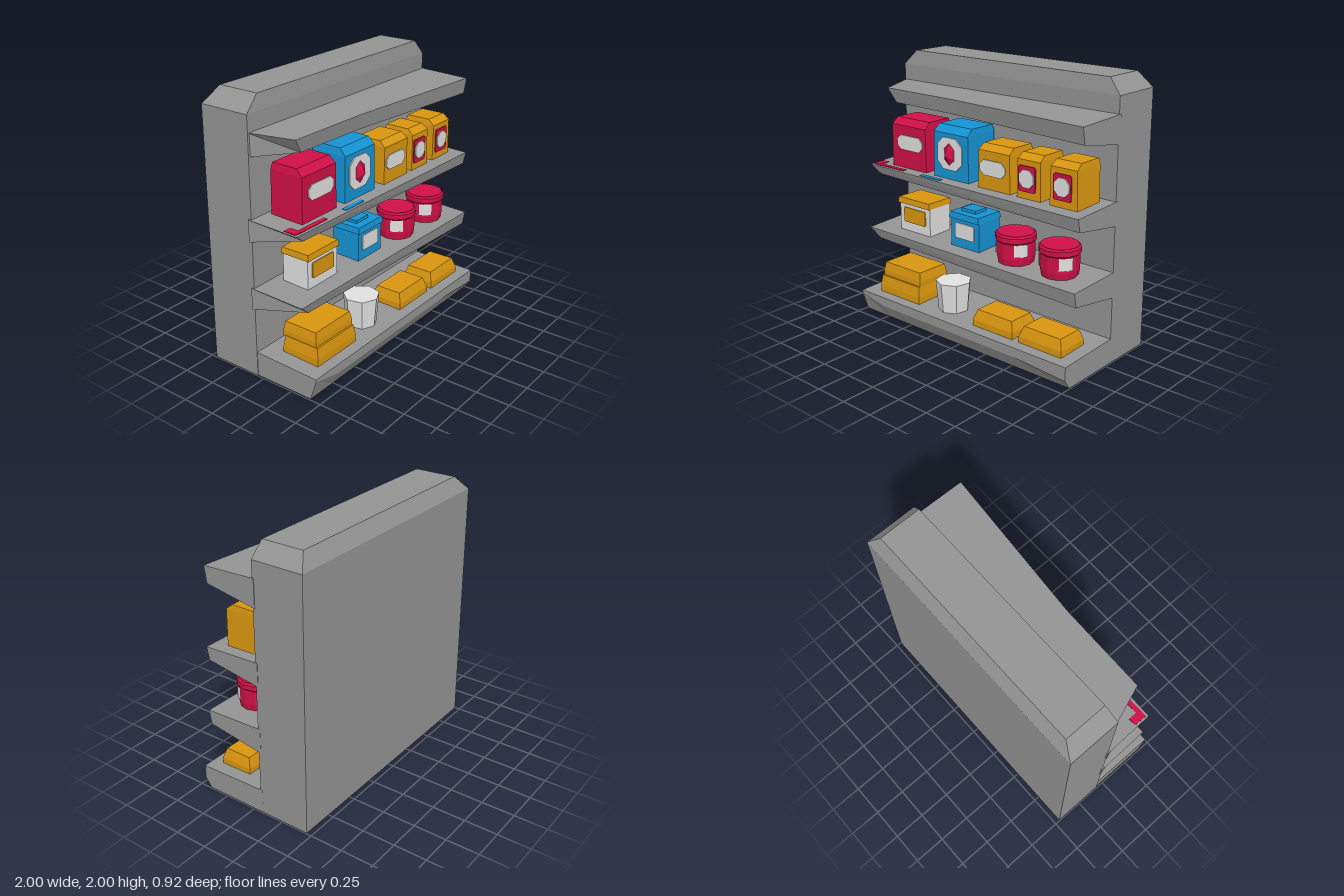
import * as THREE from 'three';

const mat = (name, color) => {
  const m = new THREE.MeshStandardMaterial({ color });
  m.name = name;
  return m;
};

// Flat-faced solid through matching rings of [x, y, z] points, closed at both ends
function loft(rings) {
  const pos = [];
  const tri = (a, b, c) => pos.push(...a, ...b, ...c);
  const n = rings[0].length;
  for (let k = 0; k < rings.length - 1; k++) {
    for (let i = 0; i < n; i++) {
      const j = (i + 1) % n, r = rings[k], s = rings[k + 1];
      tri(r[i], r[j], s[j]);
      tri(r[i], s[j], s[i]);
    }
  }
  const first = rings[0], last = rings[rings.length - 1];
  for (let i = 1; i < n - 1; i++) {
    tri(first[0], first[i + 1], first[i]);
    tri(last[0], last[i], last[i + 1]);
  }
  const g = new THREE.BufferGeometry();
  g.setAttribute('position', new THREE.Float32BufferAttribute(pos, 3));
  g.computeVertexNormals();
  return g;
}

// Horizontal rectangle ring at height y
const rect = (y, x0, x1, z0, z1) => [[x1, y, z1], [x1, y, z0], [x0, y, z0], [x0, y, z1]];

export function createModel() {
  const root = new THREE.Group();
  root.name = 'stockedShelf';
  const grey = mat('shelfGrey', 0x949494);
  const yellow = mat('mustardYellow', 0xd9960f);
  const pink = mat('crimson', 0xd01048);
  const blue = mat('brightBlue', 0x1593d3);
  const white = mat('labelWhite', 0xe0e0e0);

  const add = (name, geo, material, x = 0, y = 0, z = 0, parent = root) => {
    const m = new THREE.Mesh(geo, material);
    m.name = name;
    m.position.set(x, y, z);
    parent.add(m);
    return m;
  };
  // Thin plate from a 2D outline, facing +z
  const plate = (name, pts, material, z, parent = root) => add(name, new THREE.ExtrudeGeometry(
    new THREE.Shape(pts.map(p => new THREE.Vector2(p[0], p[1]))),
    { depth: 0.008, bevelEnabled: false }), material, 0, 0, z, parent);
  // Rectangle outline with corners cut by c
  const cut = (x0, x1, y0, y1, c) => [[x0 + c, y0], [x1 - c, y0], [x1, y0 + c], [x1, y1 - c],
    [x1 - c, y1], [x0 + c, y1], [x0, y1 - c], [x0, y0 + c]];

  // Back panel with a chamfered top
  add('backPanel', loft([
    rect(0, -0.995, 0.995, -0.46, -0.06),
    rect(1.89, -0.985, 0.99, -0.46, -0.065),
    rect(2, -0.87, 0.9, -0.4, -0.08),
  ]), grey);

  // Shelves: cross-sections run from left to right as seen from the front
  // Each station: [x at back, x at top edge, x at lower edge, front z, lower front y, back bottom y]
  const shelf = (name, topY, stations) => add(name, loft(stations.map(
    ([xb, xt, xl, zf, yl, yb]) => [
      [xl, yl, zf - 0.02], [xb, yb, -0.08], [xb, topY, -0.08], [xt, topY - 0.015, zf],
    ])), grey);
  shelf('topShelf', 1.77, [
    [-0.98, -0.87, -0.8, 0.23, 1.65, 1.605],
    [-0.2, -0.2, -0.2, 0.24, 1.645, 1.59],
    [0.995, 0.995, 0.995, 0.335, 1.635, 1.565],
  ]);
  shelf('upperShelf', 1.18, [
    [-1, -0.99, -0.9, 0.32, 1.1, 1.02],
    [0.995, 0.995, 0.995, 0.36, 1.07, 1.005],
  ]);
  shelf('middleShelf', 0.68, [
    [-1, -0.99, -0.9, 0.35, 0.59, 0.52],
    [0.995, 0.995, 0.995, 0.38, 0.56, 0.49],
  ]);
  add('bottomShelf', loft([[-0.99, 0.15], [-0.75, 0.1], [0.57, 0.1], [0.995, 0.07]].map(
    ([x, ridge]) => [
      [x, 0, 0.41], [x, 0, -0.08], [x, 0.185, -0.08], [x, 0.17, 0.46], [x, ridge, 0.46],
    ])), grey);

  // Upright cartons with a sloping top front edge
  const carton = (name, material, x0, x1, y1, z0, z1) => {
    const g = new THREE.Group();
    g.name = name;
    root.add(g);
    const ys = 1.17 + (y1 - 1.17) * 0.87;
    add(name + 'Body', loft([
      rect(1.17, x0, x1, z0, z1),
      rect(ys, x0 + 0.005, x1 - 0.005, z0, z1),
      rect(y1, x0 + 0.015, x1 - 0.01, z0 + 0.01, z1 - 0.05),
    ]), material, 0, 0, 0, g);
    return g;
  };
  let box = carton('crimsonCarton', pink, -0.83, -0.475, 1.54, -0.03, 0.235);
  plate('ovalLabel', cut(-0.77, -0.51, 1.31, 1.42, 0.035), white, 0.235, box);

  box = carton('blueCarton', blue, -0.39, -0.05, 1.555, -0.04, 0.24);
  plate('octagonLabel', cut(-0.345, -0.11, 1.24, 1.475, 0.055), white, 0.24, box);
  const drop = add('dropEmblem', new THREE.ConeGeometry(0.06, 0.05, 6).toNonIndexed(), pink, -0.23, 1.355, 0.268, box);
  drop.geometry.computeVertexNormals();
  drop.geometry.rotateX(Math.PI / 2);
  drop.scale.y = 1.5;

  box = carton('wideYellowCarton', yellow, 0.05, 0.34, 1.485, 0, 0.25);
  plate('ovalLabel', cut(0.07, 0.3, 1.27, 1.38, 0.035), white, 0.25, box);

  for (const [x0, x1, cx] of [[0.4, 0.605, 0.49], [0.68, 0.905, 0.785]]) {
    box = carton('smallYellowCarton', yellow, x0, x1, 1.48, 0, 0.25);
    plate('squareLabel', cut(cx - 0.073, cx + 0.073, 1.22, 1.4, 0.01), pink, 0.25, box);
    plate('roundSpot', cut(cx - 0.062, cx + 0.062, 1.25, 1.375, 0.036), white, 0.258, box);
  }

  // Lidded boxes on the middle shelf
  const lidded = (name, body, lid, label, x0, x1, z0, z1) => {
    const g = new THREE.Group();
    g.name = name;
    root.add(g);
    add('boxBody', loft([rect(0.67, x0 + 0.01, x1 - 0.005, z0 + 0.01, z1 - 0.015),
      rect(0.885, x0 + 0.01, x1 - 0.005, z0 + 0.01, z1 - 0.015)]), body, 0, 0, 0, g);
    add('boxLid', loft([rect(0.885, x0, x1, z0, z1),
      rect(0.93, x0 + 0.006, x1 - 0.006, z0 + 0.006, z1 - 0.006)]), lid, 0, 0, 0, g);
    plate('boxLabel', cut(x0 + 0.055, x1 - 0.05, 0.74, 0.855, 0.008), label, z1 - 0.015, g);
    return g;
  };
  lidded('whiteBox', white, yellow, yellow, -0.785, -0.455, 0, 0.24);
  const blueBox = lidded('blueBox', blue, blue, white, -0.24, 0.045, 0, 0.25);
  add('lidHandle', new THREE.BoxGeometry(0.14, 0.025, 0.12), blue, -0.11, 0.94, 0.12, blueBox);

  // Round tubs with a lid rim and two side labels
  for (const x of [0.33, 0.715]) {
    const tub = new THREE.Group();
    tub.name = 'tub';
    tub.position.set(x, 0, 0.17);
    root.add(tub);
    const profile = [[0, 0.67], [0.128, 0.67], [0.138, 0.72], [0.138, 0.83], [0.148, 0.84],
      [0.148, 0.875], [0.135, 0.89], [0.12, 0.88], [0, 0.88]].map(p => new THREE.Vector2(...p));
    const body = new THREE.LatheGeometry(profile, 12).toNonIndexed();
    body.computeVertexNormals();
    add('tubBody', body, pink, 0, 0, 0, tub);
    for (const a of [-1, 1]) {
      add('tubLabel', new THREE.CylinderGeometry(0.144, 0.144, 0.09, 4, 1, true, a * 0.95 - 0.35, 0.7),
        white, 0, 0.785, 0, tub);
    }
  }

  // Loaves and packets on the bottom shelf
  const slab = (name, x0, x1, y0, y1, z0, z1, inset) => add(name, loft([
    rect(y0, x0, x1, z0, z1),
    rect(y0 + (y1 - y0) * 0.4, x0, x1, z0, z1),
    rect(y1, x0 + inset, x1 - inset, z0 + inset, z1 - inset),
  ]), yellow);
  slab('lowerPacket', -0.865, -0.445, 0.17, 0.305, 0.07, 0.375, 0.012);
  slab('upperPacket', -0.85, -0.455, 0.3, 0.41, 0.06, 0.35, 0.012);
  slab('leftLoaf', 0.105, 0.47, 0.17, 0.295, 0.12, 0.375, 0.025);
  slab('rightLoaf', 0.53, 0.895, 0.17, 0.295, 0.12, 0.375, 0.025);

  // Faceted white pot
  const pot = new THREE.CylinderGeometry(0.135, 0.115, 0.23, 7).toNonIndexed();
  pot.computeVertexNormals();
  add('whitePot', pot, white, -0.205, 0.285, 0.245);

  // Paint marks on the wall and the upper shelf
  plate('wallMark', [[0.49, 0.47], [0.5, 0.42], [0.57, 0.37], [0.58, 0.4], [0.55, 0.48]], white, -0.064);
  add('crimsonShelfMark', new THREE.BoxGeometry(0.29, 0.006, 0.035), pink, -0.8, 1.168, 0.285);
  add('crimsonCornerMark', new THREE.BoxGeometry(0.06, 0.006, 0.1), pink, -0.945, 1.17, 0.25);
  add('blueShelfMark', new THREE.BoxGeometry(0.2, 0.006, 0.035), blue, -0.37, 1.168, 0.295);

  return root;
}
